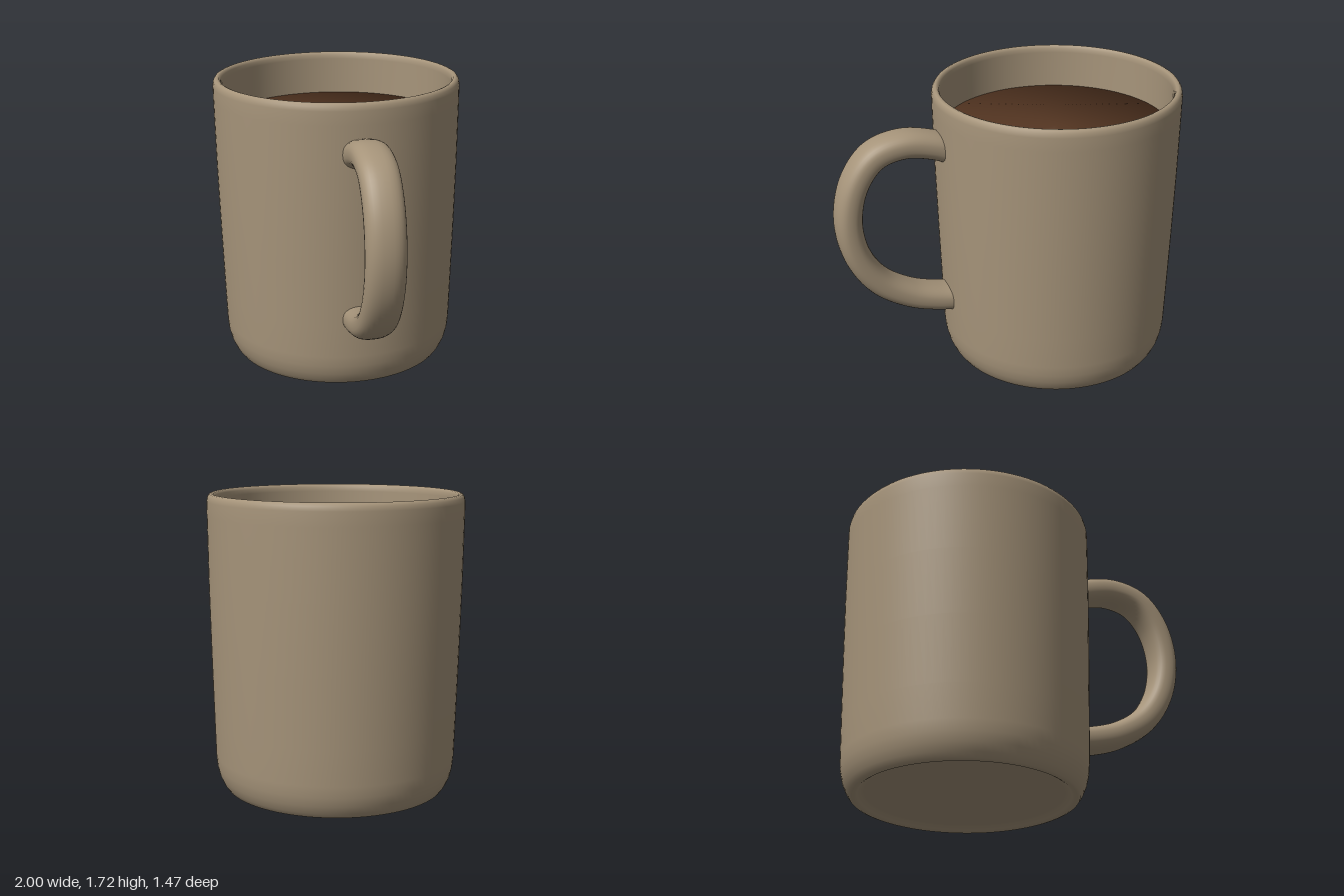
import * as THREE from 'three';

const clay = new THREE.MeshStandardMaterial({ color: 0xa6947a });
clay.name = 'tan ceramic';
const coffee = new THREE.MeshStandardMaterial({ color: 0x553622 });
coffee.name = 'dark coffee';

const lathe = (pts, material, name) => {
  const geo = new THREE.LatheGeometry(pts.map(p => new THREE.Vector2(...p)), 96);
  const mesh = new THREE.Mesh(geo, material);
  mesh.name = name;
  return mesh;
};

// Sweep of a rounded oval section along a curve lying in the xy plane, with flat ends
function sweep(curve, halfThick, halfWidth, steps, sides) {
  const rings = [[0, 0], [0, 1]];
  for (let i = 0; i <= steps; i++) rings.push([i / steps, 1]);
  rings.push([1, 1], [1, 0]);
  const soft = v => Math.sign(v) * Math.abs(v) ** 0.82;
  const pos = [], index = [];
  rings.forEach(([t, s], i) => {
    const c = curve.getPointAt(t), d = curve.getTangentAt(t);
    for (let j = 0; j < sides; j++) {
      const a = (j / sides) * Math.PI * 2;
      const n = s * halfThick * soft(Math.cos(a)), b = s * halfWidth * soft(Math.sin(a));
      pos.push(c.x - d.y * n, c.y + d.x * n, b);
      // Skip the joins between doubled rings so the end edges stay sharp
      if (i === rings.length - 1 || i === 1 || i === rings.length - 3) continue;
      const k = (j + 1) % sides, p = i * sides, q = p + sides;
      index.push(p + j, p + k, q + j, p + k, q + k, q + j);
    }
  });
  const geo = new THREE.BufferGeometry();
  geo.setAttribute('position', new THREE.Float32BufferAttribute(pos, 3));
  geo.setIndex(index);
  geo.computeVertexNormals();
  return geo;
}

export function createModel() {
  const group = new THREE.Group();
  group.name = 'mug';
  const mug = new THREE.Group();
  mug.name = 'mugParts';
  mug.position.x = -0.265;
  group.add(mug);

  // Foot recess, outer wall, rounded rim, inner wall and floor
  mug.add(lathe([
    [0, 0.03], [0.56, 0.03], [0.58, 0.026], [0.6, 0.01], [0.615, 0.001], [0.63, 0],
    [0.645, 0.006], [0.665, 0.035], [0.685, 0.08], [0.698, 0.135], [0.704, 0.2],
    [0.71, 0.4], [0.721, 0.8], [0.73, 1.2], [0.735, 1.6], [0.735, 1.68],
    [0.73, 1.705], [0.72, 1.719], [0.708, 1.723], [0.696, 1.719], [0.688, 1.705],
    [0.685, 1.68], [0.684, 1.4], [0.66, 0.3], [0.62, 0.12], [0.56, 0.1], [0, 0.1],
  ], clay, 'cup'));

  // Liquid with a softly shaded edge
  mug.add(lathe([[0.68, 0.78], [0.68, 1.46], [0, 1.46]], coffee, 'coffee'));

  // Handle, turned a little toward the front
  const path = new THREE.CatmullRomCurve3([
    [0.64, 1.4], [0.78, 1.455], [0.95, 1.483], [1.12, 1.435], [1.24, 1.28], [1.29, 1.05],
    [1.25, 0.82], [1.13, 0.63], [0.95, 0.51], [0.78, 0.455], [0.64, 0.432],
  ].map(([x, y]) => new THREE.Vector3(x, y, 0)));
  const handle = new THREE.Mesh(sweep(path, 0.08, 0.11, 72, 32), clay);
  handle.name = 'handle';
  handle.rotation.y = THREE.MathUtils.degToRad(-24.5);
  mug.add(handle);

  return group;
}
